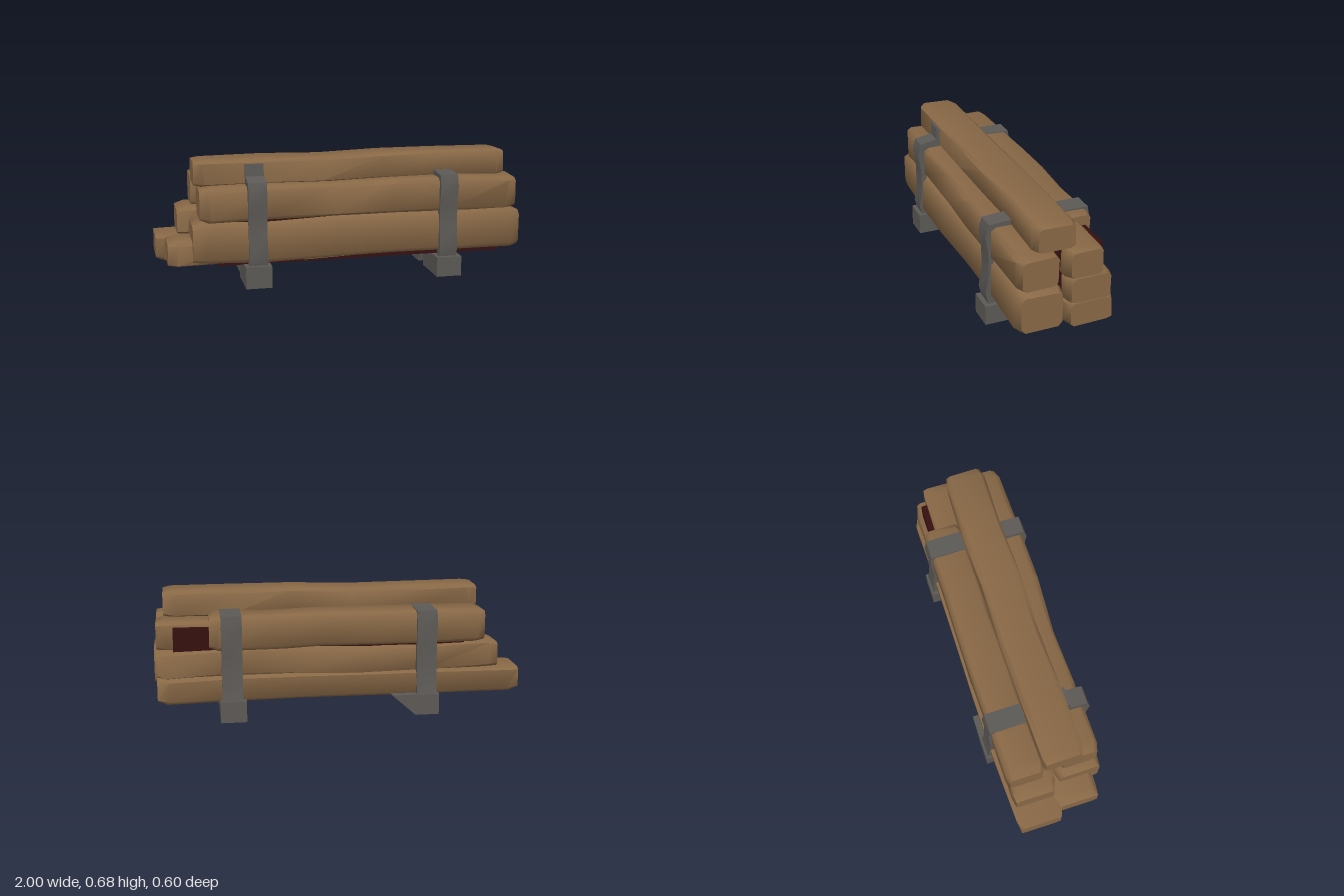
import * as THREE from 'three';
import { toCreasedNormals } from 'three/addons/utils/BufferGeometryUtils.js';

const mat = (name, color) => {
  const m = new THREE.MeshStandardMaterial({ color });
  m.name = name;
  return m;
};

// Squared log: chamfered cross-sections along x, with bevelled ends and a gentle seeded wobble
function logGeometry([x0, x1], [y0, y1], [z0, z1], seed) {
  const pos = [], idx = [], n = 8, ts = [0, 0.03, 0.22, 0.41, 0.6, 0.79, 0.97, 1];
  let s = seed * 7919 + 13;
  const rnd = () => ((s = (s * 16807) % 2147483647) / 2147483647 - 0.5);
  const cy = (y0 + y1) / 2, cz = (z0 + z1) / 2, hy = (y1 - y0) / 2, hz = (z1 - z0) / 2;
  const c = 0.78;
  const ring = [[1, -c], [1, c], [c, 1], [-c, 1], [-1, c], [-1, -c], [-c, -1], [c, -1]];
  ts.forEach((t, i) => {
    const end = i === 0 || i === ts.length - 1;
    const k = end ? 0.88 : 1;
    const oy = end ? 0 : rnd() * 0.014, oz = end ? 0 : rnd() * 0.016;
    for (const [a, b] of ring) {
      pos.push(x0 + (x1 - x0) * t + (end ? 0 : rnd() * 0.03),
        cy + oy + a * hy * k + rnd() * 0.008, cz + oz + b * hz * k + rnd() * 0.008);
    }
  });
  for (let i = 0; i < ts.length - 1; i++) {
    for (let j = 0; j < n; j++) {
      const a = i * n + j, b = i * n + (j + 1) % n;
      idx.push(a, b, a + n, b, b + n, a + n);
    }
  }
  const last = (ts.length - 1) * n, m = ts.length * n;
  pos.push(x0, cy, cz, x1, cy, cz);
  for (let j = 0; j < n; j++) {
    const k = (j + 1) % n;
    idx.push(m, k, j, m + 1, last + j, last + k);
  }
  const g = new THREE.BufferGeometry();
  g.setAttribute('position', new THREE.Float32BufferAttribute(pos, 3));
  g.setIndex(idx);
  return toCreasedNormals(g, 1.0);
}

// Band whose outer and inner outlines are given as [z, y] points, extruded across x
function strapGeometry(outer, inner, x, width) {
  const pts = [...outer, ...inner.slice().reverse()].map(p => new THREE.Vector2(p[0], p[1]));
  const g = new THREE.ExtrudeGeometry(new THREE.Shape(pts), { depth: width, bevelEnabled: false });
  g.rotateY(-Math.PI / 2);
  g.translate(x + width / 2, 0, 0);
  return toCreasedNormals(g, 0.7);
}

// Block with separate bottom and top rectangles: [x0, x1, z0, z1]
function footGeometry(bottom, top, h) {
  const g = new THREE.BoxGeometry(1, 1, 1), p = g.attributes.position;
  for (let i = 0; i < p.count; i++) {
    const up = p.getY(i) > 0, r = up ? top : bottom;
    p.setXYZ(i, p.getX(i) > 0 ? r[1] : r[0], up ? h : 0, p.getZ(i) > 0 ? r[3] : r[2]);
  }
  g.computeVertexNormals();
  return g;
}

export function createModel() {
  const group = new THREE.Group();
  const wood = mat('wood', 0x886846);
  const iron = mat('iron', 0x5c5956);
  const dark = mat('darkGap', 0x35100f);
  const add = (name, geo, m) => {
    const mesh = new THREE.Mesh(geo, m);
    mesh.name = name;
    group.add(mesh);
    return mesh;
  };

  // Stacked logs: x, y and z ranges
  const logs = [
    ['frontBottomLog', [-0.82, 1.0], [0.135, 0.355], [0.02, 0.268]],
    ['innerBottomLog', [-0.95, 0.85], [0.115, 0.25], [-0.02, 0.22]],
    ['frontUpperLog', [-0.78, 0.98], [0.358, 0.54], [0.04, 0.252]],
    ['backBottomLog', [-1.0, 0.98], [0.105, 0.245], [-0.262, -0.005]],
    ['backMiddleLog', [-0.88, 0.98], [0.232, 0.388], [-0.25, -0.01]],
    ['innerUpperLog', [-0.76, 0.98], [0.375, 0.535], [-0.195, -0.005]],
    ['backUpperLog', [-0.8, 0.7], [0.388, 0.57], [-0.262, -0.055]],
    ['topLog', [-0.8, 0.94], [0.53, 0.672], [-0.065, 0.155]],
  ];
  logs.forEach(([name, x, y, z], i) => add(name, logGeometry(x, y, z, i + 1), wood));

  // Dark filling seen in the gaps between logs
  const core = add('darkCore', new THREE.BoxGeometry(1.58, 0.39, 0.45), dark);
  core.position.set(0.1, 0.312, 0);

  // Straps running up each side and folding over the upper logs
  const frontOuter = [[0.27, 0.09], [0.29, 0.17], [0.273, 0.28], [0.275, 0.4], [0.29, 0.5], [0.272, 0.567]];
  const frontInner = [[0.23, 0.09], [0.25, 0.17], [0.25, 0.28], [0.24, 0.4], [0.245, 0.5], [0.235, 0.535]];
  const backOuter = [[-0.07, 0.575], [-0.268, 0.574], [-0.281, 0.5], [-0.27, 0.36], [-0.278, 0.17], [-0.295, 0.09]];
  const backInner = [[-0.07, 0.545], [-0.235, 0.545], [-0.25, 0.5], [-0.24, 0.36], [-0.245, 0.17], [-0.24, 0.09]];
  const tabs = {
    right: { outer: [[0.15, 0.575]], inner: [[0.14, 0.53]] },
    left: { outer: [[0.176, 0.585], [0.172, 0.652]], inner: [[0.145, 0.54], [0.145, 0.645]] },
  };
  for (const [side, x] of [['right', -0.478], ['left', 0.578]]) {
    const tab = tabs[side === 'right' ? 'left' : 'right'];
    add(side + 'FrontStrap',
      strapGeometry([...frontOuter, ...tab.outer], [...frontInner, ...tab.inner], x, 0.1), iron);
    add(side + 'BackStrap', strapGeometry(backOuter, backInner, x + 0.005, 0.11), iron);
  }

  // Feet under the straps
  add('rightFrontFoot', footGeometry([-0.55, -0.41, 0.05, 0.3], [-0.55, -0.41, 0.05, 0.3], 0.12), iron);
  add('rightBackFoot', footGeometry([-0.54, -0.41, -0.3, -0.045], [-0.54, -0.28, -0.3, -0.015], 0.115), iron);
  add('leftFrontFoot', footGeometry([0.51, 0.65, 0.05, 0.3], [0.51, 0.65, 0.05, 0.3], 0.11), iron);
  add('leftBackFoot', footGeometry([0.51, 0.65, -0.3, -0.045], [0.51, 0.65, -0.3, -0.015], 0.115), iron);

  return group;
}
